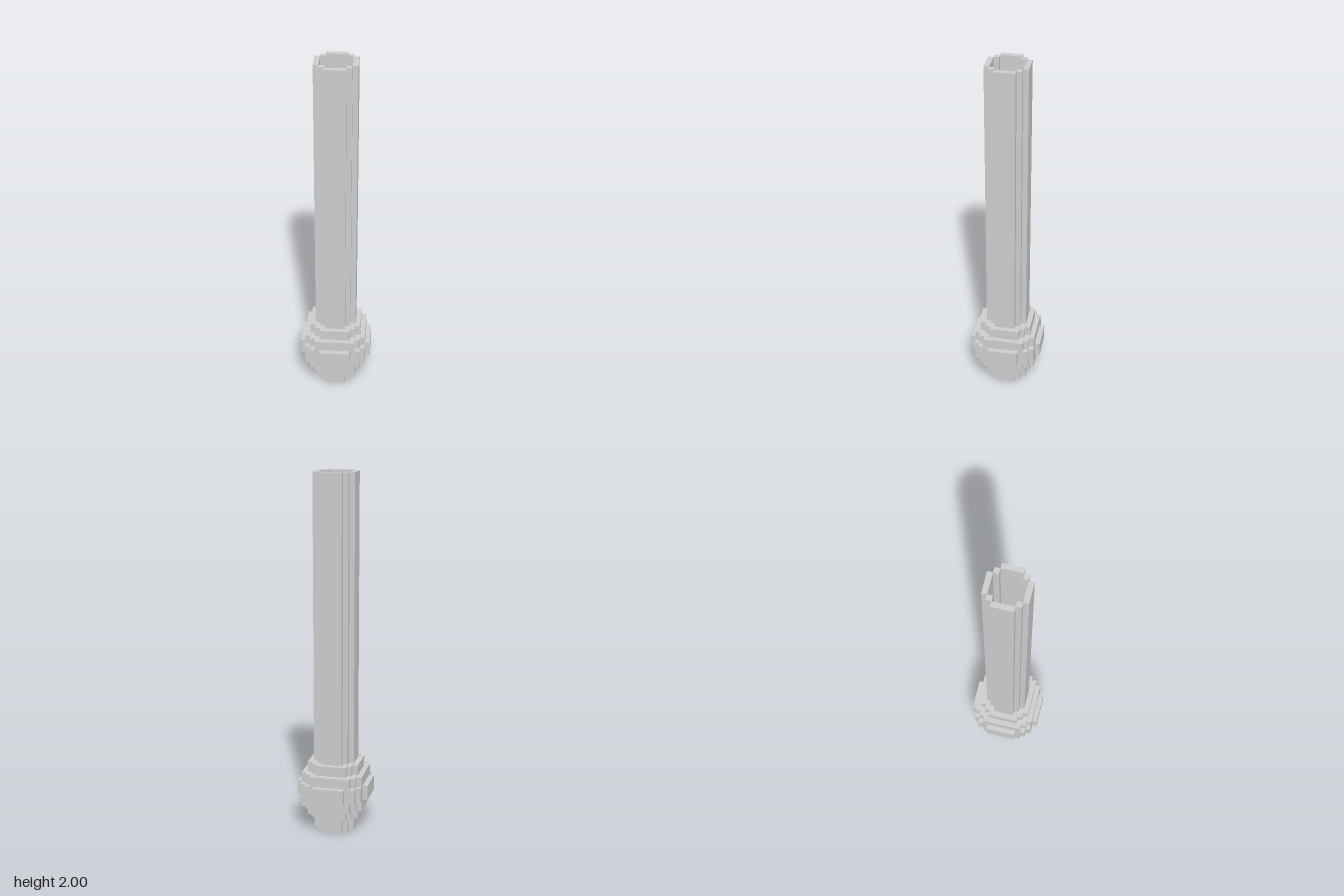
import * as THREE from 'three';

const U = 2 / 70; // edge of one block

// Stepped circle outline from the corner points of one quadrant, in blocks,
// running from the +x side to the +y side; mirrored by quarter turns.
function steppedOutline(quadrant, PathType) {
  const path = new PathType();
  const points = [];
  for (let turn = 0; turn < 4; turn++) {
    for (const [x, y] of quadrant) {
      let px = x, py = y;
      for (let k = 0; k < turn; k++) [px, py] = [-py, px];
      points.push(new THREE.Vector2(px * U, py * U));
    }
  }
  path.setFromPoints(points);
  path.closePath();
  return path;
}

const TUBE_OUTER = [[4, 2], [3, 2], [3, 3], [2, 3], [2, 4]];
const TUBE_INNER = [[3, 2], [2, 2], [2, 3]];
const RING_SMALL = [[5, 3], [4, 3], [4, 4], [3, 4], [3, 5]];
const RING_MEDIUM = [[6, 4], [5, 4], [5, 5], [4, 5], [4, 6]];
const RING_LARGE = [[7, 3], [6, 3], [6, 5], [5, 5], [5, 6], [3, 6], [3, 7]];

export function createModel() {
  const group = new THREE.Group();
  const stone = new THREE.MeshStandardMaterial({ color: 0xcccccc });
  stone.name = 'light grey';

  function addTier(name, outer, inner, bottom, top) {
    const shape = steppedOutline(outer, THREE.Shape);
    shape.holes.push(steppedOutline(inner, THREE.Path));
    const geometry = new THREE.ExtrudeGeometry(shape, {
      depth: (top - bottom) * U, bevelEnabled: false,
    });
    geometry.rotateX(-Math.PI / 2);
    const mesh = new THREE.Mesh(geometry, stone);
    mesh.name = name;
    mesh.position.y = bottom * U;
    group.add(mesh);
  }

  // Hollow shaft, full height
  addTier('shaft', TUBE_OUTER, TUBE_INNER, 0, 70);

  // Stepped bulb around the foot of the shaft
  addTier('lowerSmallRing', RING_SMALL, TUBE_OUTER, 3, 5);
  addTier('lowerMediumRing', RING_MEDIUM, TUBE_OUTER, 5, 7);
  addTier('largeRing', RING_LARGE, TUBE_OUTER, 7, 10);
  addTier('upperMediumRing', RING_MEDIUM, TUBE_OUTER, 10, 12);
  addTier('upperSmallRing', RING_SMALL, TUBE_OUTER, 12, 14);

  return group;
}
